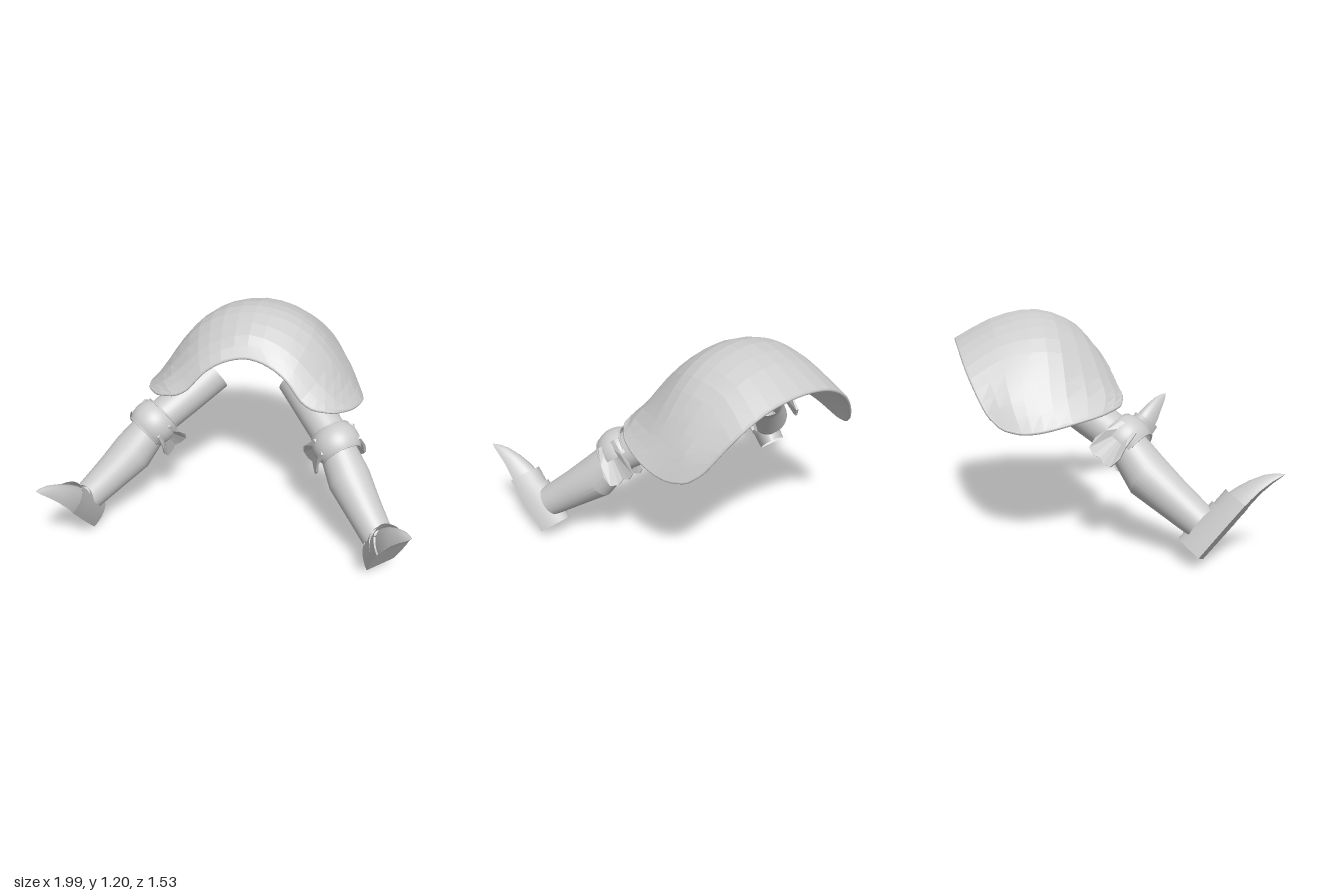
import * as THREE from 'three';
import { toCreasedNormals } from 'three/addons/utils/BufferGeometryUtils.js';

const V = (x, y, z) => new THREE.Vector3(x, y, z);
const material = new THREE.MeshStandardMaterial({ color: 0xcccccc, side: THREE.DoubleSide });

function add(parent, name, geometry) {
  const mesh = new THREE.Mesh(geometry, material);
  mesh.name = name;
  parent.add(mesh);
  return mesh;
}

// Surface through a grid of points; the front side faces du x dv
function gridSurface(nu, nv, point, crease) {
  const pos = [], index = [];
  for (let j = 0; j <= nv; j++)
    for (let i = 0; i <= nu; i++) pos.push(...point(i, j).toArray());
  for (let j = 0; j < nv; j++)
    for (let i = 0; i < nu; i++) {
      const a = j * (nu + 1) + i, c = a + nu + 1;
      index.push(a, a + 1, c, a + 1, c + 1, c);
    }
  const g = new THREE.BufferGeometry();
  g.setAttribute('position', new THREE.Float32BufferAttribute(pos, 3));
  g.setIndex(index);
  return toCreasedNormals(g, crease);
}

// Round limb from rings [x, y, z, radius], listed top to bottom
function limb(rings) {
  return gridSurface(32, rings.length - 1, (i, j) => {
    const [x, y, z, r] = rings[j], a = (i / 32) * Math.PI * 2;
    return V(x + r * Math.cos(a), y, z + r * Math.sin(a));
  }, 0.3);
}

// Slightly peaked arch with a flat sole from sections [z, halfWidth, height, xShift, yShift]
function footPlate(sections) {
  const n = 16;
  return gridSurface(n + 1, sections.length - 1, (i, j) => {
    const [z, w, h, x, y = 0] = sections[j], a = i > n ? 0 : (i / n) * Math.PI;
    return V(x + w * Math.cos(a), y + h * Math.max(0, Math.sin(a)) ** 1.2, z);
  }, 0.6);
}

// Half cross-sections of the shell from front edge to back edge, centre to side
const shellRows = [
  [[0, 1, 0], [.14, .97, .02], [.25, .9, .05], [.33, .81, .08], [.41, .765, .09], [.52, .74, .05]],
  [[0, 1.1, -.08], [.16, 1.06, -.07], [.29, .98, -.05], [.4, .87, -.03], [.5, .785, -.02], [.6, .715, -.06]],
  [[0, 1.175, -.23], [.18, 1.145, -.23], [.33, 1.06, -.23], [.45, .93, -.23], [.55, .79, -.23], [.642, .685, -.22]],
  [[0, 1.19, -.38], [.18, 1.157, -.38], [.33, 1.07, -.38], [.45, .94, -.38], [.545, .8, -.38], [.638, .652, -.36]],
  [[0, 1.14, -.57], [.18, 1.11, -.56], [.32, 1.03, -.55], [.44, .91, -.53], [.54, .78, -.51], [.612, .64, -.47]],
  [[0, 1.04, -.755], [.2, 1.01, -.745], [.35, .93, -.72], [.45, .83, -.68], [.525, .72, -.625], [.575, .66, -.56]],
];

function makeShell() {
  const shell = new THREE.Group();
  shell.name = 'shell';
  const spline = (pts, closed = false) => new THREE.CatmullRomCurve3(pts, closed, 'catmullrom', 0.5);
  const rows = shellRows.map(row => spline([
    ...row.slice(1).reverse().map(([x, y, z]) => V(-x, y, z)),
    ...row.map(p => V(...p)),
  ]));
  const nu = 20, nv = 10, core = V(0, .4, -.3);
  const columns = [];
  for (let i = 0; i <= nu; i++) columns.push(spline(rows.map(r => r.getPoint(i / nu))));
  const at = (i, j, depth = 0) => {
    const p = columns[i].getPoint(j / nv);
    return p.add(core.clone().sub(p).setLength(depth));
  };
  add(shell, 'shellPlate', gridSurface(nu, nv, (i, j) => at(i, j), 0.1));
  add(shell, 'shellLining', gridSurface(nu, nv, (i, j) => at(nu - i, j, 0.018), 0.1));

  // rounded rim joining both skins
  const edge = [];
  for (let i = 0; i < nu; i++) edge.push(at(i, 0, 0.009));
  for (let j = 0; j < nv; j++) edge.push(at(nu, j, 0.009));
  for (let i = nu; i > 0; i--) edge.push(at(i, nv, 0.009));
  for (let j = nv; j > 0; j--) edge.push(at(0, j, 0.009));
  add(shell, 'shellRim', new THREE.TubeGeometry(spline(edge, true), 120, 0.0095, 8, true));
  return shell;
}

// Folded knee wing: two mirrored half plates, creased along the middle
function makeWing(side) {
  const wing = new THREE.Group();
  wing.name = side > 0 ? 'outerKneeWing' : 'innerKneeWing';
  const shape = new THREE.Shape([[.07, 0], [.07, .05], [-.02, .068], [-.08, .085], [-.14, .075], [-.155, .035], [-.14, 0]]
    .map(p => new THREE.Vector2(...p)));
  const g = new THREE.ExtrudeGeometry(shape, { depth: 0.014, bevelEnabled: false });
  g.rotateY(-Math.PI / 2);
  const p = g.attributes.position;
  for (let i = 0; i < p.count; i++) {
    const z = p.getZ(i);
    p.setX(i, p.getX(i) + 0.137 + 0.25 * p.getY(i) - (z > 0 ? 0.4 * z : 0));
  }
  g.computeVertexNormals();
  add(wing, 'wingUpperHalf', g);
  add(wing, 'wingLowerHalf', g).scale.y = -1;
  wing.scale.x = side;
  return wing;
}

// Front part of a spherical band with lipped edges, and a wing on each side
function makeKnee() {
  const knee = new THREE.Group();
  knee.name = 'knee';
  knee.position.set(0, -.03, -.005);
  const r = 0.138, t = 0.97, over = 0.15;
  add(knee, 'kneeCop', new THREE.SphereGeometry(r, 32, 12, -over, Math.PI + 2 * over, t, Math.PI - 2 * t));
  for (const s of [-1, 1]) {
    const lip = new THREE.TorusGeometry(r * Math.sin(t), 0.005, 6, 32, Math.PI);
    lip.rotateX(Math.PI / 2);
    add(knee, 'kneeCopLip', lip).position.y = s * r * Math.cos(t);
    knee.add(makeWing(s));
  }
  return knee;
}

// Foot of three overlapping plates, open at the heel
function makeFoot() {
  const foot = new THREE.Group();
  foot.name = 'foot';
  foot.position.set(-.045, -.71, -.19);
  add(foot, 'heelPlate', footPlate([[0, .085, .15, 0], [.12, .094, .15, .005], [.25, .1, .147, .012]]));
  add(foot, 'middlePlate', footPlate([[.2, .09, .135, .012], [.34, .096, .135, .018]]));
  add(foot, 'toePlate', footPlate([
    [.3, .078, .122, .018], [.38, .07, .102, .022], [.45, .053, .08, .03, -.005],
    [.52, .034, .055, .04, -.018], [.56, .018, .03, .046, -.03], [.585, .002, .002, .05, -.036],
  ]));
  return foot;
}

// Left leg in its own frame: x outward, y up the limb, z towards the kneecap
function makeLeg() {
  const leg = new THREE.Group();
  leg.add(makeKnee(), makeFoot());
  add(leg, 'thigh', limb([[-.015, .435, -.042, .118], [-.01, .22, -.033, .108], [0, -.06, -.01, .1]]));
  add(leg, 'greave', limb([
    [0, .01, -.01, .1], [-.005, -.08, -.025, .107], [-.013, -.235, -.06, .123],
    [-.018, -.4, -.06, .105], [-.022, -.595, -.056, .088],
  ]));
  return leg;
}

export function createModel() {
  const model = new THREE.Group();
  model.name = 'legArmour';
  model.add(makeShell());

  const down = V(.56, -.56, .62).normalize();
  const side = V(.13, .79, .6).cross(down).normalize();
  const front = V().crossVectors(down, side);
  const basis = new THREE.Matrix4().makeBasis(side, down.clone().negate(), front);
  for (const s of [1, -1]) {
    const leg = makeLeg();
    leg.quaternion.setFromRotationMatrix(basis);
    leg.position.set(.52, .575, .06);
    // the right leg is posed with a slight inward twist and outward swing
    if (s < 0) leg.rotateZ(.035).rotateY(-.15);
    const half = new THREE.Group();
    half.name = s > 0 ? 'leftLeg' : 'rightLeg';
    half.scale.x = s;
    half.add(leg);
    model.add(half);
  }
  return model;
}
